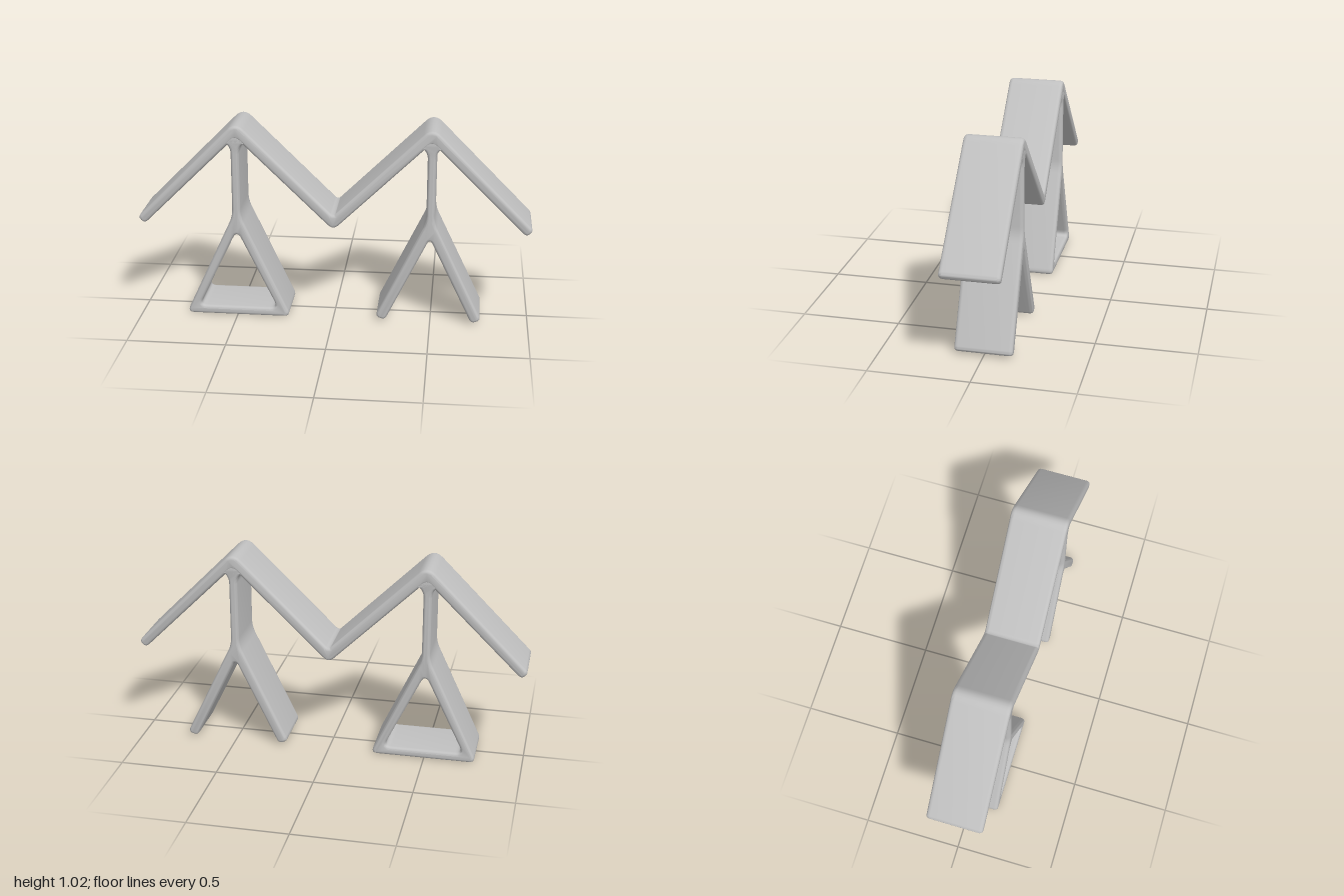
import * as THREE from 'three';
import { toCreasedNormals } from 'three/addons/utils/BufferGeometryUtils.js';

const WIDTH = 0.29; // front to back

// Trace a closed loop of [x, y, cornerRadius] with softened corners
function roundedLoop(path, points) {
  const n = points.length;
  const toward = (a, b, r) => {
    const p = new THREE.Vector2(a[0], a[1]);
    const d = new THREE.Vector2(b[0], b[1]).sub(p);
    const length = d.length();
    return p.addScaledVector(d, Math.min(r, length * 0.49) / length);
  };
  points.forEach((p, i) => {
    const start = toward(p, points[(i + n - 1) % n], p[2]);
    const end = toward(p, points[(i + 1) % n], p[2]);
    if (i === 0) path.moveTo(start.x, start.y);
    else path.lineTo(start.x, start.y);
    path.quadraticCurveTo(p[0], p[1], end.x, end.y);
  });
  path.closePath();
  return path;
}

// Close a right-hand outline (top centre to bottom centre) with its mirror image, anticlockwise
function mirrored(half) {
  const left = half.filter((p) => p[0] > 0).reverse().map(([x, y, r]) => [-x, y, r]);
  return [...half, ...left].reverse();
}

// Extrude an outline into a band with soft edges
function band(name, outline, hole, width, material) {
  const shape = roundedLoop(new THREE.Shape(), mirrored(outline));
  if (hole) shape.holes.push(roundedLoop(new THREE.Path(), mirrored(hole)));
  const bevel = 0.015;
  const bevelDepth = 0.02;
  const geometry = new THREE.ExtrudeGeometry(shape, {
    depth: width - 2 * bevelDepth, bevelEnabled: true, bevelSize: bevel,
    bevelThickness: bevelDepth, bevelOffset: -bevel, bevelSegments: 4, curveSegments: 6,
  });
  geometry.translate(0, 0, bevelDepth - width / 2);
  const mesh = new THREE.Mesh(toCreasedNormals(geometry, 0.7), material);
  mesh.name = name;
  return mesh;
}

export function createModel() {
  const grey = new THREE.MeshStandardMaterial({ color: 0xc0c0c0 });
  grey.name = 'light grey';
  const model = new THREE.Group();
  model.name = 'zigzagStand';

  // Zigzag roof with two peaks
  model.add(band('zigzagRoof', [
    [0, 0.565, 0.02],
    [0.49, 1.045, 0.06],
    [1.008, 0.524, 0.025],
    [0.972, 0.49, 0.025],
    [0.49, 0.965, 0.03],
    [0, 0.489, 0.04],
  ], null, WIDTH, grey));

  // Post flaring out under the roof and spreading into a leg
  const post = [
    [0, 0.99, 0.005],
    [0.06, 0.945, 0.005],
    [0.021, 0.91, 0.03],
    [0.021, 0.545, 0.04],
  ];

  // Open support standing on two legs
  const forked = band('forkedSupport', [
    ...post,
    [0.273, 0.022, 0.025],
    [0.222, 0.002, 0.025],
    [0, 0.46, 0.03],
  ], null, WIDTH - 0.002, grey);
  forked.position.x = 0.49;
  model.add(forked);

  // Closed triangular support
  const triangle = band('triangleSupport', [
    ...post,
    [0.275, 0.0, 0.04],
  ], [
    [0, 0.47, 0.05],
    [0.205, 0.046, 0.04],
  ], WIDTH - 0.002, grey);
  triangle.position.x = -0.495;
  model.add(triangle);

  return model;
}
